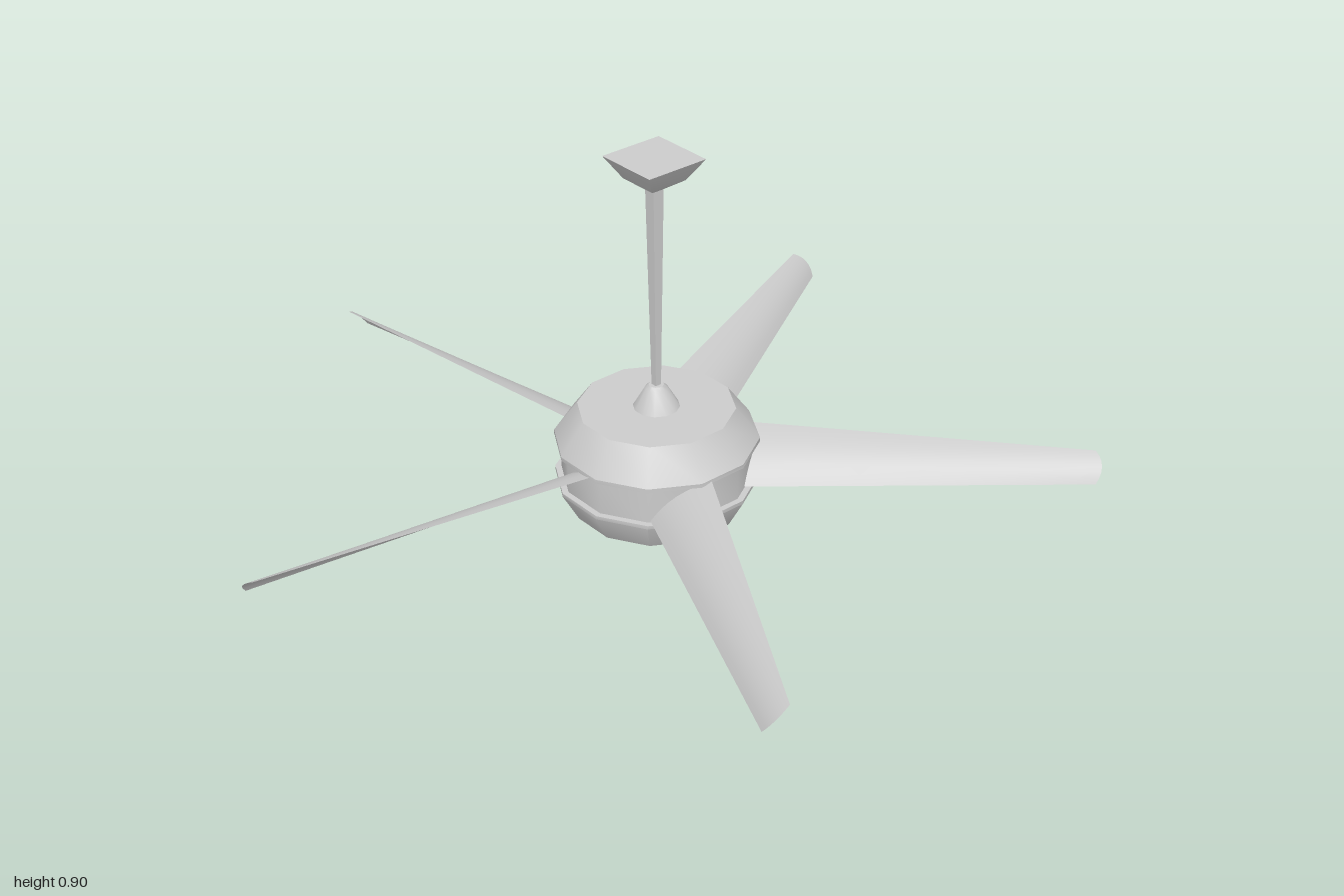
import * as THREE from 'three';
import { toCreasedNormals } from 'three/addons/utils/BufferGeometryUtils.js';

const material = new THREE.MeshStandardMaterial({ color: 0xcccccc, side: THREE.DoubleSide });

// Turned part from [radius, height] points, listed bottom to top
function turned(name, profile, sides) {
  const points = profile.map(([r, y]) => new THREE.Vector2(r, y));
  const geometry = toCreasedNormals(new THREE.LatheGeometry(points, sides), 0.6);
  const mesh = new THREE.Mesh(geometry, material);
  mesh.name = name;
  return mesh;
}

// Thin, tapered, pitched and cambered blade running along +x
function bladeGeometry() {
  const geometry = new THREE.PlaneGeometry(1, 1, 6, 6);
  const pos = geometry.attributes.position;
  const lerp = THREE.MathUtils.lerp;
  for (let i = 0; i < pos.count; i++) {
    const t = pos.getX(i) + 0.5; // root to tip
    const s = pos.getY(i) * 2; // low front edge (-1) to high back edge (1)
    const bulge = (1 - s * s) * lerp(0.015, 0.006, t);
    const x = lerp(0.2, 1.036 + 0.014 * (1 - s * s), t);
    const y = 0.131 + s * lerp(0.046, 0.029, t) + bulge;
    const z = -0.006 - s * lerp(0.073, 0.029, t) + bulge * 0.7;
    pos.setXYZ(i, x, y, z);
  }
  geometry.computeVertexNormals();
  return geometry;
}

export function createModel() {
  const fan = new THREE.Group();
  fan.name = 'ceilingFan';

  // Motor housing: lower bowl, recessed hub, upper cover
  fan.add(turned('lowerHousing', [[0, 0], [0.205, 0], [0.245, 0.073], [0.245, 0.082], [0.2, 0.082]], 12));
  fan.add(turned('hub', [[0.23, 0.08], [0.23, 0.172]], 12));
  fan.add(turned('upperHousing', [[0.2, 0.172], [0.245, 0.172], [0.245, 0.182], [0.188, 0.26], [0, 0.26]], 12));

  // Hanging hardware
  fan.add(turned('rodCollar', [[0.057, 0.258], [0.027, 0.31], [0.018, 0.318], [0, 0.318]], 12));
  fan.add(turned('downRod', [[0.011, 0.31], [0.021, 0.83]], 4));
  fan.add(turned('ceilingCanopy', [[0, 0.823], [0.02, 0.823], [0.07, 0.847], [0.116, 0.9], [0, 0.9]], 4));

  // Five blades around the hub
  const geometry = bladeGeometry();
  for (let i = 0; i < 5; i++) {
    const blade = new THREE.Mesh(geometry, material);
    blade.name = 'blade' + (i + 1);
    blade.rotation.y = (i * Math.PI * 2) / 5;
    fan.add(blade);
  }

  fan.position.set(-0.098, 0, -0.003);
  const model = new THREE.Group();
  model.name = 'model';
  model.add(fan);
  return model;
}
